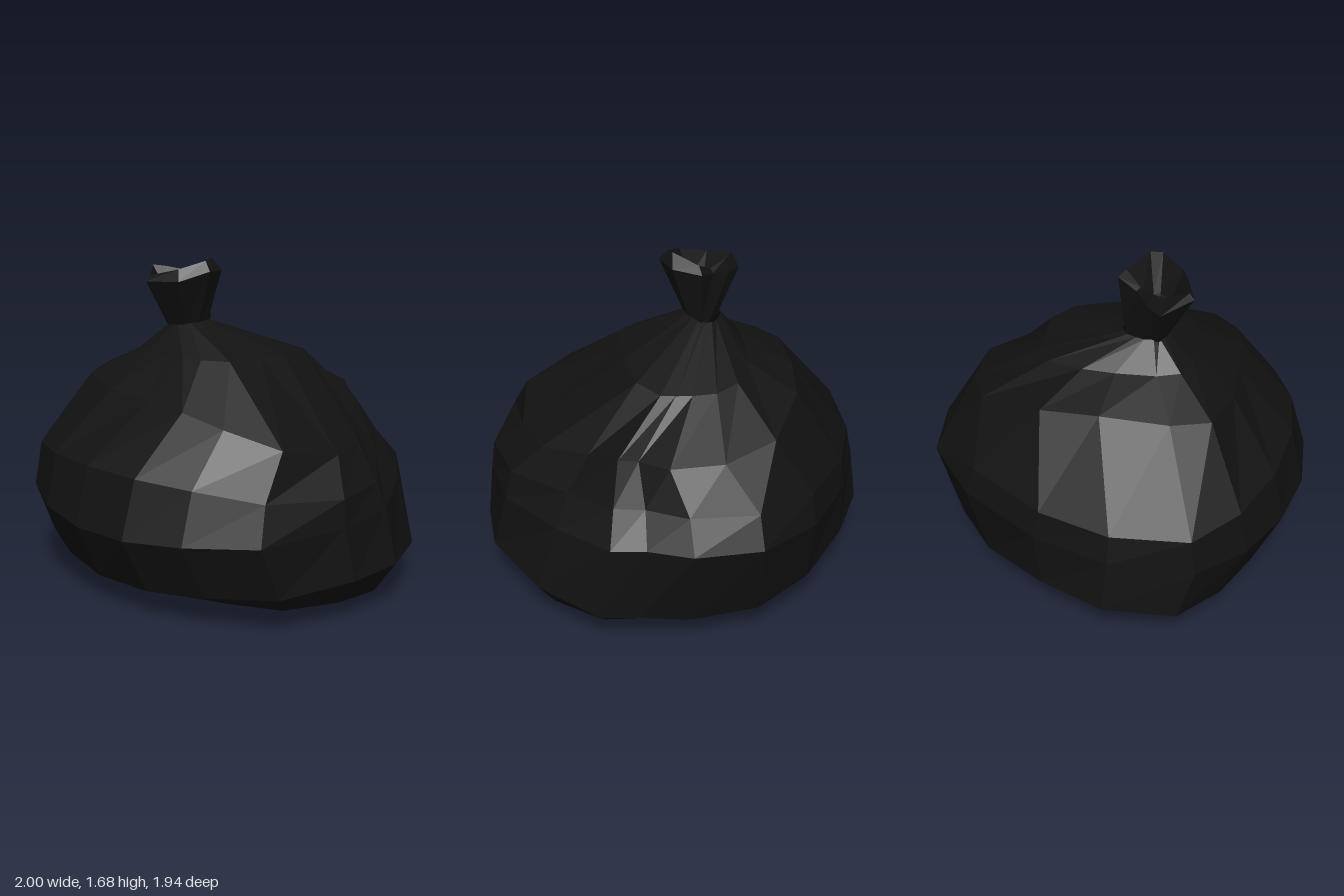
import * as THREE from 'three';

const { clamp } = THREE.MathUtils;
const material = new THREE.MeshStandardMaterial({ color: 0x121212, flatShading: true, side: THREE.DoubleSide });

// Join rings of equal point count into a skin; rings run counterclockwise seen from above
function loft(name, rings) {
  const n = rings[0].length;
  const index = [];
  for (let r = 0; r < rings.length - 1; r++) {
    for (let i = 0; i < n; i++) {
      const a = r * n + i, b = r * n + (i + 1) % n;
      index.push(a, b, b + n, a, b + n, a + n);
    }
  }
  const geometry = new THREE.BufferGeometry();
  geometry.setAttribute('position', new THREE.Float32BufferAttribute(rings.flat(2), 3));
  geometry.setIndex(index);
  geometry.computeVertexNormals();
  const mesh = new THREE.Mesh(geometry, material);
  mesh.name = name;
  return mesh;
}

// Irregular plan outline of the sack (x, z), scaled to about -1..1
const outline = [
  [0.05, -1], [-0.3, -0.96], [-0.6, -0.72], [-0.85, -0.32], [-1, 0.08], [-0.95, 0.5],
  [-0.72, 0.72], [-0.43, 0.88], [-0.1, 1], [0.24, 0.98], [0.54, 0.86], [0.87, 0.66],
  [1, 0.2], [0.96, -0.18], [0.73, -0.6], [0.47, -0.89], [0.28, -0.92],
];

// Fit the outline between four sides, each with its own reach and height.
// The corner factors fill or hollow the diagonals: +x back, -x front, +x front, -x back
function sackRing([x0, y0], [x1, y1], [zF, yF], [zB, yB], corners = [1, 1, 1, 1]) {
  return outline.map(([u, w]) => {
    const wu = u * u / (u * u + w * w);
    const y = wu * (u > 0 ? y1 : y0) + (1 - wu) * (w > 0 ? yF : yB);
    const corner = u > 0 ? (w > 0 ? 2 : 0) : (w > 0 ? 1 : 3);
    const k = 1 + (corners[corner] - 1) * 2 * Math.abs(u * w) / (u * u + w * w);
    return [
      clamp((x0 + x1) / 2 + k * u * (x1 - x0) / 2, x0, x1),
      y,
      clamp((zF + zB) / 2 + k * w * (zF - zB) / 2, zB, zF),
    ];
  });
}

export function createModel() {
  const group = new THREE.Group();
  group.name = 'tiedSack';

  // Sagging sack body: -x, +x, front and back of every ring
  group.add(loft('sackBody', [
    sackRing([0, 0.03], [0, 0.03], [-0.05, 0.03], [-0.05, 0.03]),
    sackRing([-0.4, 0.015], [0.4, 0.02], [0.27, 0.015], [-0.45, 0], [1, 1, 1, 0.9]),
    sackRing([-0.8, 0.03], [0.85, 0.05], [0.58, 0.04], [-0.68, 0.04], [1.12, 1, 0.95, 0.85]),
    sackRing([-1, 0.22], [1, 0.23], [0.83, 0.14], [-0.86, 0.14], [1.07, 1.03, 1, 0.98]),
    sackRing([-0.97, 0.49], [0.97, 0.5], [0.97, 0.43], [-0.97, 0.57], [0.95, 1.05, 1.02, 1.02]),
    sackRing([-0.94, 0.64], [0.96, 0.63], [0.9, 0.73], [-0.88, 0.73], [0.86, 1.07, 0.98, 1.05]),
    sackRing([-0.6, 1.1], [0.8, 0.79], [0.6, 1.02], [-0.75, 0.93], [0.77, 1.22, 1.08, 1.18]),
    sackRing([-0.36, 1.19], [0.28, 1.2], [0.38, 1.21], [-0.4, 1.14], [1.2, 1.25, 1.1, 1.15]),
    sackRing([-0.25, 1.33], [-0.07, 1.35], [0.25, 1.33], [0.03, 1.33]),
  ]));

  // Gathered neck flaring into an open, crumpled mouth
  const base = [[-0.25, 0.22], [-0.19, 0.25], [-0.11, 0.23], [-0.07, 0.17],
    [-0.08, 0.1], [-0.13, 0.03], [-0.18, 0.07], [-0.23, 0.14]].map(([x, z]) => [x, 1.32, z]);
  const flare = [[-0.36, 1.54, 0.24], [-0.22, 1.56, 0.385], [-0.04, 1.57, 0.33], [0.06, 1.62, 0.21],
    [0.01, 1.61, 0.08], [-0.13, 1.6, 0], [-0.2, 1.57, 0.1], [-0.3, 1.55, 0.17]];
  const rim = [[-0.32, 1.62, 0.25], [-0.21, 1.59, 0.36], [-0.06, 1.63, 0.31], [0.02, 1.67, 0.2],
    [0, 1.68, 0.14], [-0.12, 1.64, 0.04], [-0.19, 1.59, 0.12], [-0.28, 1.61, 0.19]];
  const inside = rim.map(([x, , z]) => [-0.15 + (x + 0.15) * 0.55, 1.48, 0.2 + (z - 0.2) * 0.55]);
  const pit = rim.map(() => [-0.15, 1.44, 0.2]);
  group.add(loft('gatheredNeck', [base, flare, rim, inside, pit]));

  return group;
}
